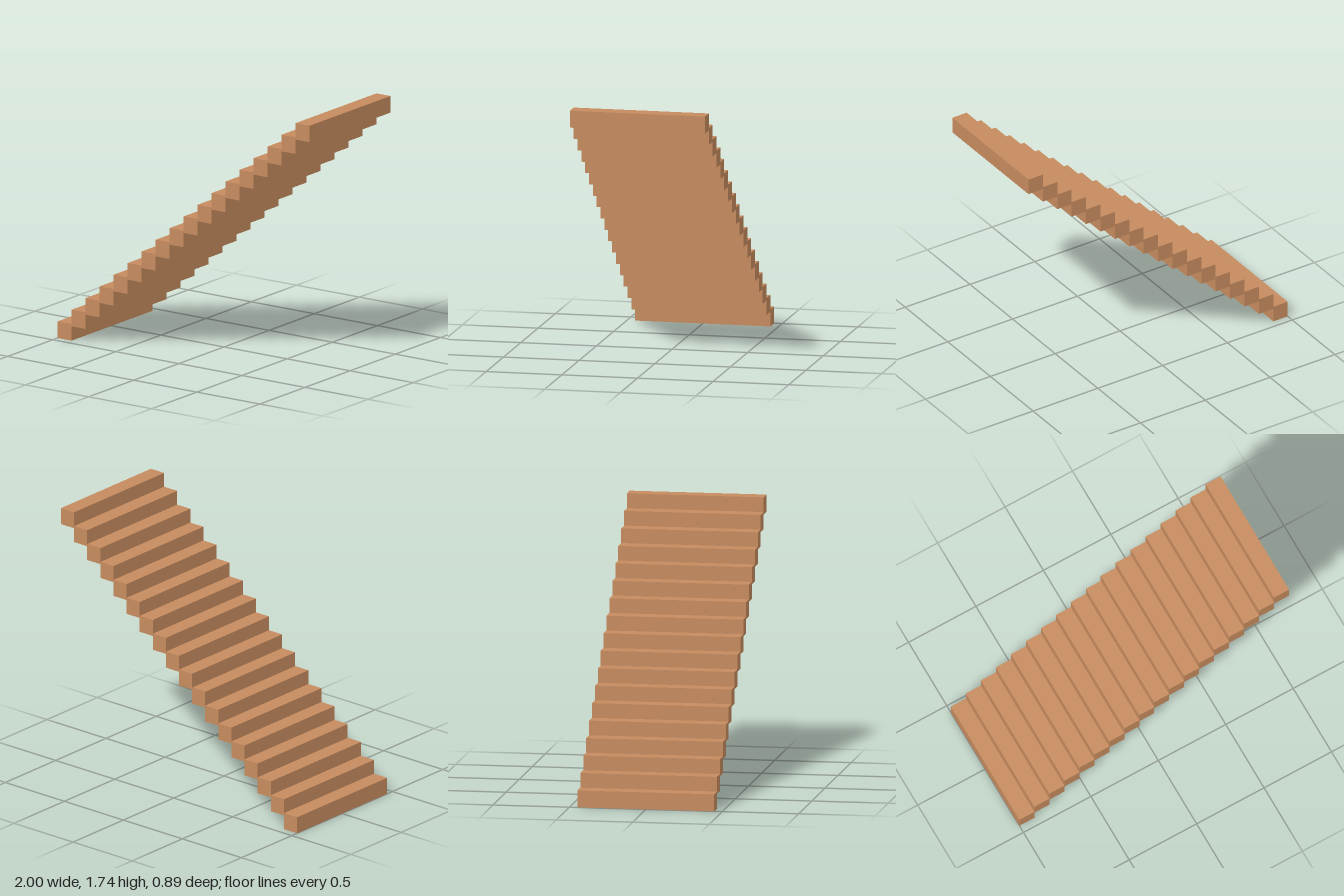
import * as THREE from 'three';

const STEPS = 18;
const RUN = 2 / STEPS;      // tread depth along x
const HEIGHT = 0.111;       // block height
const TOTAL = 1.737;        // overall height
const WIDTH = 0.894;        // stair width along z

export function createModel() {
  const stairs = new THREE.Group();
  stairs.name = 'staircase';

  const wood = new THREE.MeshStandardMaterial({ color: 0xc68b5e });
  const block = new THREE.BoxGeometry(RUN, HEIGHT, WIDTH);
  const rise = (TOTAL - HEIGHT) / (STEPS - 1);

  // Solid treads climbing towards +x, each slightly overlapping the next in height
  for (let i = 0; i < STEPS; i++) {
    const step = new THREE.Mesh(block, wood);
    step.name = `step${i + 1}`;
    step.position.set(-1 + RUN * (i + 0.5), HEIGHT / 2 + rise * i, 0);
    stairs.add(step);
  }
  return stairs;
}
